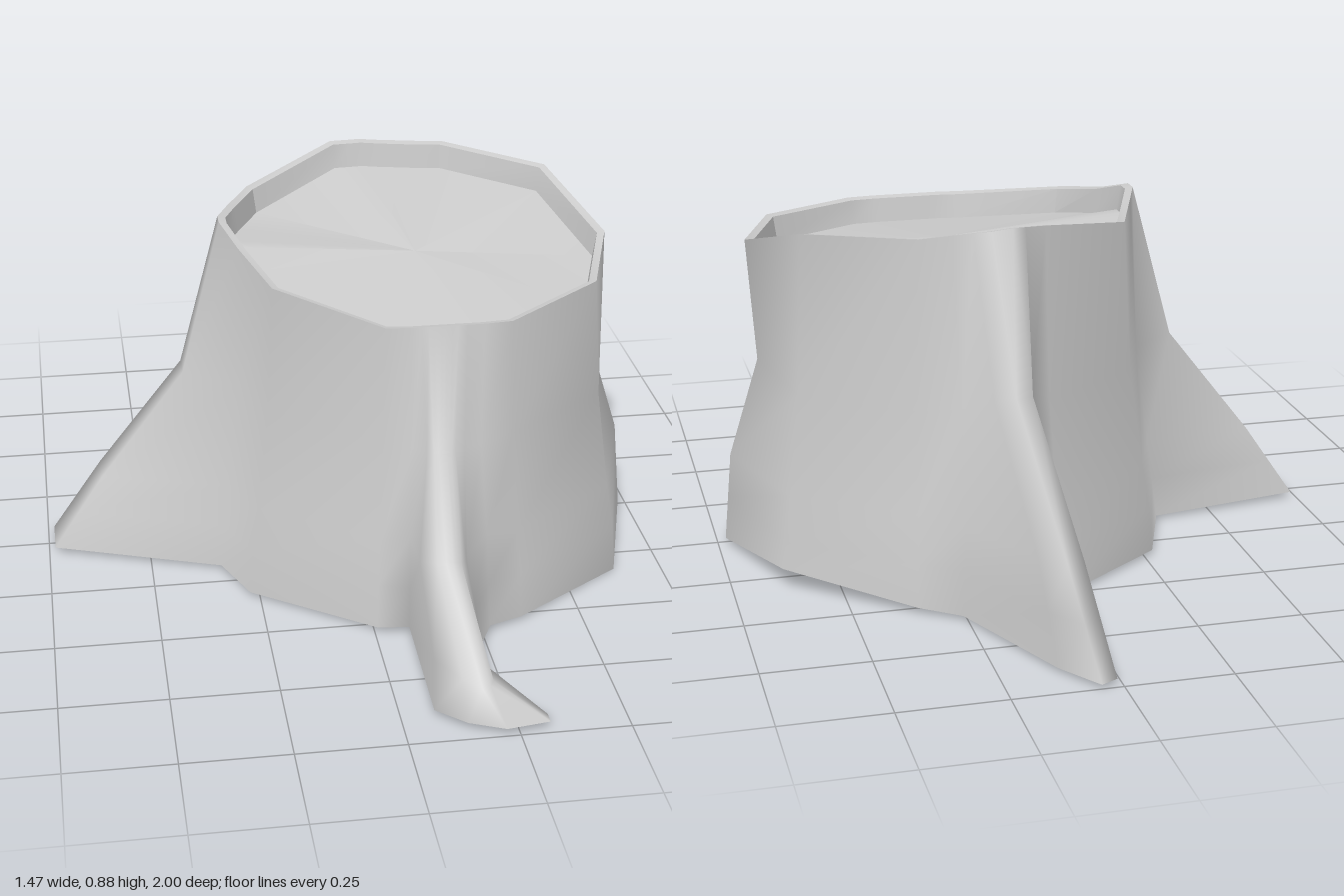
import * as THREE from 'three';
import { toCreasedNormals } from 'three/addons/utils/BufferGeometryUtils.js';

const CX = 0.18; // centre of the trunk in x
const LEVELS = 5;
const V = (x, y, z) => new THREE.Vector3(x, y, z);

// Skin a list of closed rings; each ring is an array of Vector3.
function loft(rings) {
  const n = rings[0].length;
  const pos = rings.flatMap(r => r.flatMap(p => [p.x, p.y, p.z]));
  const index = [];
  for (let j = 0; j < rings.length - 1; j++) {
    for (let i = 0; i < n; i++) {
      const a = j * n + i, b = j * n + (i + 1) % n;
      index.push(a, a + n, b, b, a + n, b + n);
    }
  }
  const g = new THREE.BufferGeometry();
  g.setAttribute('position', new THREE.Float32BufferAttribute(pos, 3));
  g.setIndex(index);
  g.computeVertexNormals();
  return g;
}

// Ten-sided trunk: one column of points per corner, bottom to top.
const rimHeights = [0.77, 0.757, 0.745, 0.745, 0.785, 0.85, 0.83, 0.88, 0.866, 0.85];
const footHeights = [0.01, 0, 0.01, 0.01, 0.01, 0.01, 0.01, 0.01, 0.015, 0.055];

function wallColumn(k) {
  const a = k * Math.PI / 5;
  const radii = [0.56, 0.55, 0.53, k === 0 ? 0.455 : 0.495, 0.475];
  if (k === 0) radii.splice(0, 2, 0.55, 0.54);
  const heights = [footHeights[k], 0.12, 0.23, 0.47, rimHeights[k]];
  return radii.map((r, j) => V(CX + r * Math.cos(a), heights[j], r * Math.sin(a)));
}

// Root column given at four levels; a fifth is added near the ground.
function rootColumn(points) {
  const c = points.map(p => V(...p));
  c.splice(1, 0, c[0].clone().lerp(c[1], 0.5));
  return c;
}

// Side root, straight with a narrow ridge.
const sideRoot = [
  [[-0.33, 0.01, 0.19], [-0.31, 0.22, 0.17], [-0.275, 0.47, 0.13], [-0.265, 0.82, 0.11]],
  [[-0.735, 0.015, 0.05], [-0.61, 0.2, 0.04], [-0.4, 0.47, 0.03], [-0.3, 0.85, 0.01]],
  [[-0.735, 0.015, -0.06], [-0.61, 0.2, -0.05], [-0.4, 0.47, -0.04], [-0.3, 0.85, -0.03]],
  [[-0.35, 0.01, -0.12], [-0.32, 0.22, -0.125], [-0.285, 0.47, -0.13], [-0.27, 0.845, -0.11]],
].map(rootColumn);

// Back root, the longest one, leaning slightly sideways.
const backRoot = [
  [[0.07, 0.01, -0.58], [0.07, 0.25, -0.57], [0.08, 0.5, -0.51], [0.08, 0.88, -0.455]],
  [[0.01, 0.01, -0.98], [0.06, 0.25, -0.89], [0.1, 0.53, -0.6], [0.11, 0.88, -0.458]],
  [[0.05, 0.01, -1.0], [0.1, 0.25, -0.9], [0.14, 0.53, -0.61], [0.16, 0.875, -0.458]],
  [[0.12, 0.01, -0.9], [0.14, 0.23, -0.8], [0.18, 0.51, -0.57], [0.2, 0.873, -0.455]],
  [[0.26, 0.01, -0.59], [0.25, 0.22, -0.57], [0.24, 0.48, -0.51], [0.25, 0.87, -0.452]],
].map(rootColumn);

// Front root with a toe hooked to one side: foot x, z; two mid points; upper x, z; rim x.
const frontRoot = [
  [0.27, 0.57, [0.265, 0.12, 0.56], [0.26, 0.25, 0.55], 0.25, 0.5, 0.26],
  [0.2, 0.72, [0.2, 0.12, 0.69], [0.2, 0.24, 0.62], 0.21, 0.51, 0.22],
  [0.18, 0.88, [0.185, 0.13, 0.83], [0.185, 0.26, 0.68], 0.185, 0.53, 0.2],
  [0.22, 0.94, [0.19, 0.12, 0.9], [0.17, 0.265, 0.695], 0.175, 0.53, 0.185],
  [0.32, 0.95, [0.2, 0.1, 0.93], [0.16, 0.27, 0.7], 0.165, 0.532, 0.17],
  [0.32, 0.98, [0.19, 0.1, 0.95], [0.15, 0.27, 0.7], 0.155, 0.532, 0.16],
  [0.22, 0.995, [0.17, 0.1, 0.96], [0.135, 0.27, 0.7], 0.145, 0.532, 0.145],
  [0.14, 0.96, [0.13, 0.11, 0.93], [0.115, 0.27, 0.695], 0.135, 0.53, 0.13],
  [0.075, 0.9, [0.08, 0.12, 0.86], [0.08, 0.26, 0.67], 0.12, 0.52, 0.115],
  [0.08, 0.55, [0.08, 0.12, 0.55], [0.08, 0.25, 0.54], 0.09, 0.5, 0.09],
].map(([fx, fz, p, q, ux, uz, rx]) =>
  [V(fx, 0.015, fz), V(...p), V(...q), V(ux, 0.46, uz), V(rx, 0.745, 0.458)]);

export function createModel() {
  const group = new THREE.Group();
  const material = new THREE.MeshStandardMaterial({ color: 0xcccccc, side: THREE.DoubleSide });
  const add = (name, geometry) => {
    const mesh = new THREE.Mesh(geometry, material);
    mesh.name = name;
    group.add(mesh);
  };
  const walls = (...ks) => ks.map(wallColumn);

  // Bark: trunk and roots as one open skin
  const columns = [
    ...walls(0, 1, 2), ...frontRoot,
    ...walls(3, 4), ...sideRoot,
    ...walls(6, 7), ...backRoot,
    ...walls(8, 9),
  ];
  const rings = Array.from({ length: LEVELS }, (_, j) => columns.map(c => c[j]));
  add('bark', loft(rings));

  // Raised rim around the recessed cut face
  const outer = rings[LEVELS - 1];
  const inset = (s, drop) => outer.map(p => V(CX + (p.x - CX) * s, p.y - drop, p.z * s));
  const lip = inset(0.96, 0.004);
  const floor = inset(0.94, 0.065);
  add('rim', toCreasedNormals(loft([outer, lip, floor]), 0.6));

  // Cut face
  const centre = floor.map(() => V(CX, 0.745, 0));
  add('cutFace', loft([floor, centre]));

  return group;
}
